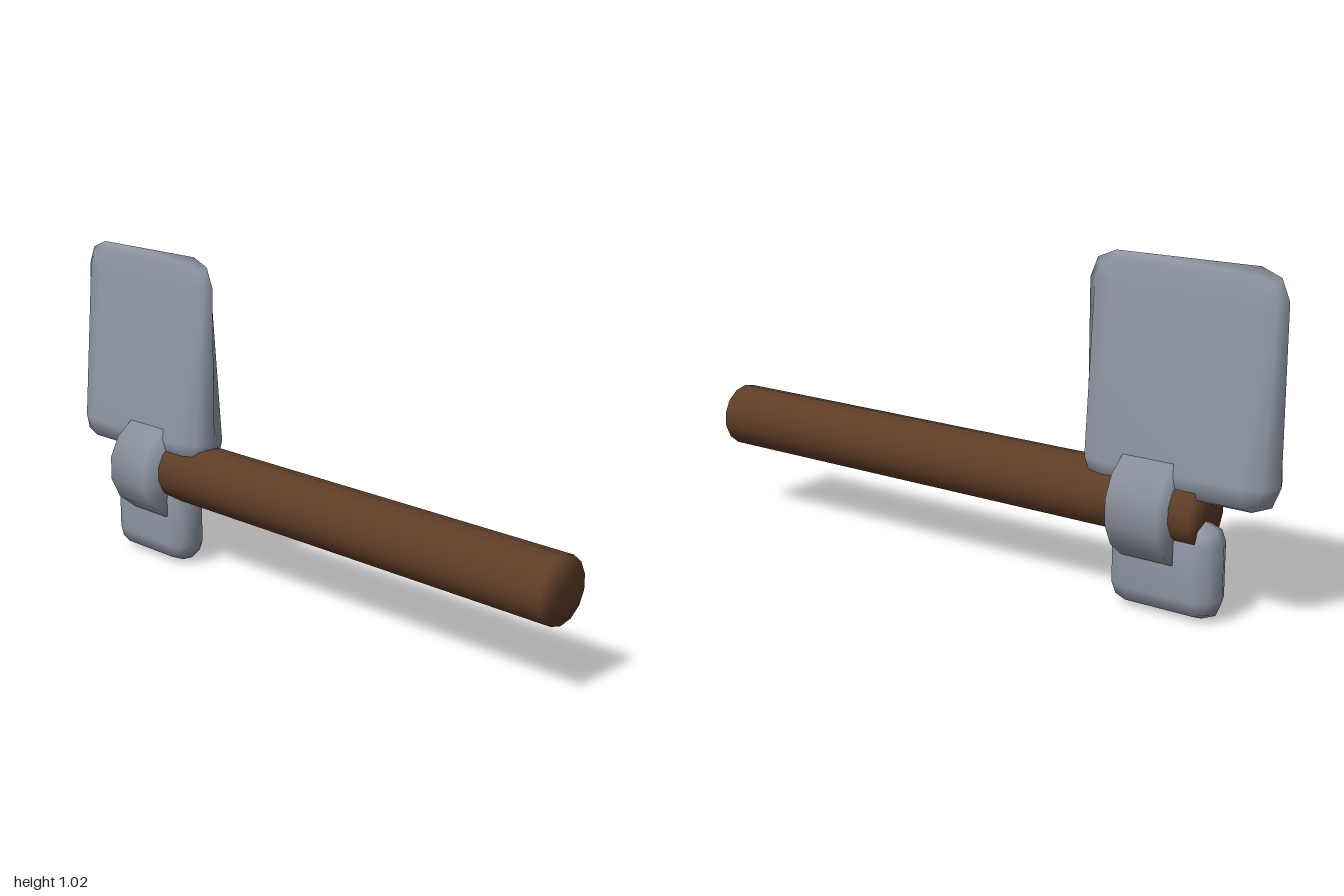
import * as THREE from 'three';
import { mergeVertices } from 'three/addons/utils/BufferGeometryUtils.js';

// Weld all shared corners so the shading runs smoothly over the edges
function smooth(geometry) {
  geometry.deleteAttribute('normal');
  geometry.deleteAttribute('uv');
  const welded = mergeVertices(geometry, 1e-4);
  welded.computeVertexNormals();
  return welded;
}

// Slab in the y-z plane with a two-step rounded bevel; halfWidth(y) gives its half thickness in x
function bevelledSlab(yMin, yMax, zMin, zMax, bevel, halfWidth) {
  const corners = [
    [zMax - bevel, yMax - bevel], [zMin + bevel, yMax - bevel],
    [zMin + bevel, yMin + bevel], [zMax - bevel, yMin + bevel],
  ];
  const positions = [], index = [], rings = 5, count = 12;
  for (let j = 0; j < rings; j++) {
    const phi = (j - 2) * Math.PI / 4;
    const reach = bevel * Math.cos(phi);
    corners.forEach(([cz, cy], c) => {
      for (let k = 0; k < 3; k++) {
        const a = c * Math.PI / 2 + k * Math.PI / 4;
        const y = cy + reach * Math.sin(a);
        positions.push(halfWidth(y) * Math.sin(phi), y, cz + reach * Math.cos(a));
      }
    });
  }
  for (let j = 0; j < rings - 1; j++) {
    for (let i = 0; i < count; i++) {
      const a = j * count + i, b = j * count + (i + 1) % count;
      index.push(a, a + count, b + count, a, b + count, b);
    }
  }
  // Flat cheeks
  const last = (rings - 1) * count;
  index.push(0, 3, 6, 0, 6, 9, last, last + 6, last + 3, last, last + 9, last + 6);
  const geometry = new THREE.BufferGeometry();
  geometry.setAttribute('position', new THREE.Float32BufferAttribute(positions, 3));
  geometry.setIndex(index);
  return smooth(geometry);
}

// Solid 14-sided rod along z
function rod(radius, zMin, zMax) {
  const geometry = new THREE.CylinderGeometry(radius, radius, zMax - zMin, 14);
  geometry.rotateX(Math.PI / 2);
  geometry.translate(0, 0.317, (zMin + zMax) / 2);
  return smooth(geometry);
}

export function createModel() {
  const group = new THREE.Group();
  const wood = new THREE.MeshStandardMaterial({ color: 0x5f3d26 });
  const steel = new THREE.MeshStandardMaterial({ color: 0x8f96a3 });
  const add = (name, geometry, material) => {
    const mesh = new THREE.Mesh(geometry, material);
    mesh.name = name;
    group.add(mesh);
  };

  add('handle', rod(0.1, -0.775, 1), wood);
  add('collar', rod(0.165, -0.71, -0.545), steel);
  // Blade thins towards its cutting edge
  add('blade', bevelledSlab(0.345, 1.023, -1, -0.38, 0.085,
    (y) => 0.075 - (y - 0.45) * 0.109), steel);
  add('poll', bevelledSlab(0.003, 0.295, -0.835, -0.48, 0.065, () => 0.064), steel);

  return group;
}
